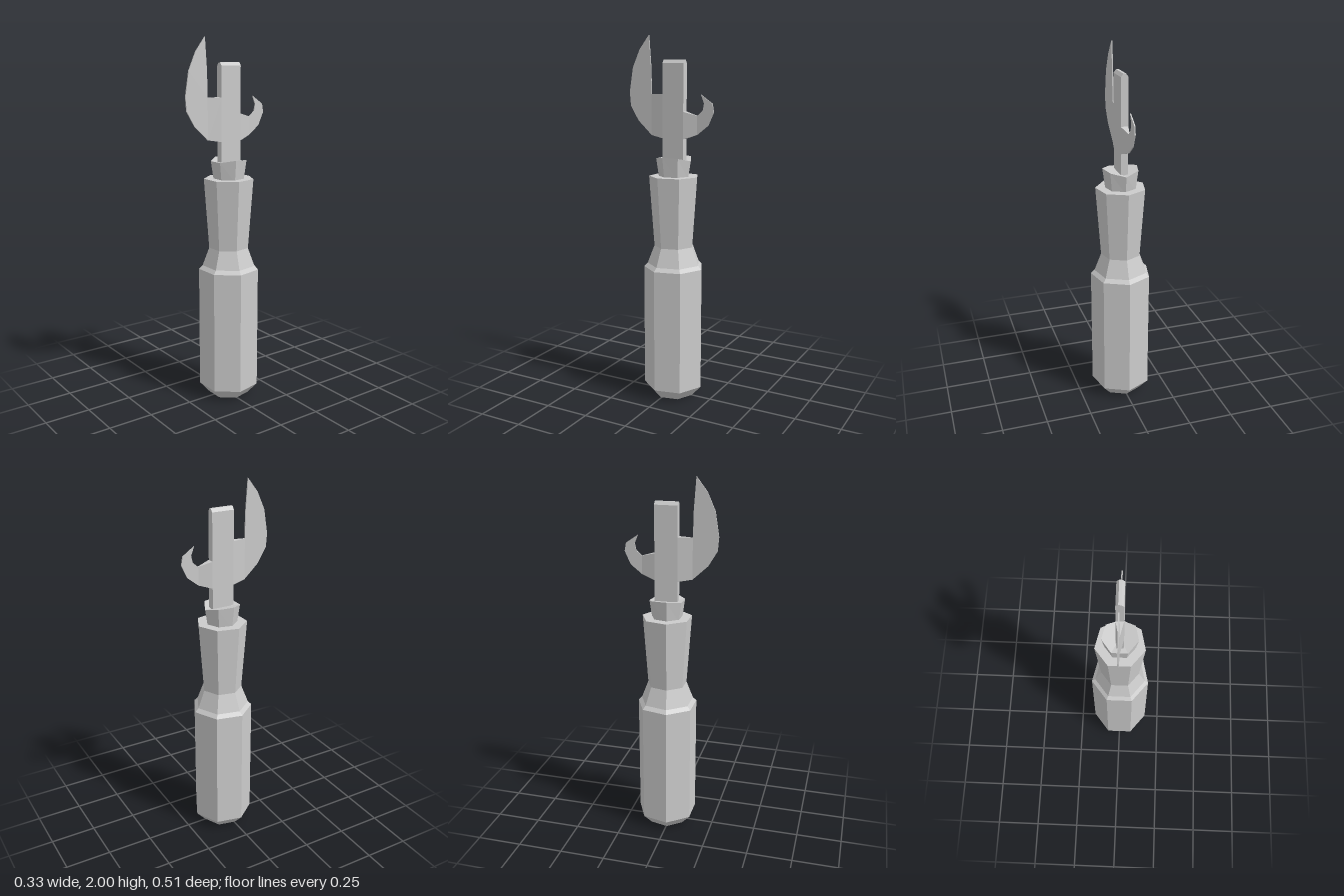
import * as THREE from 'three';

const SIDES = 7;
const AXIS_Z = -0.022; // the handle sits slightly behind the blade
const BAR_FRONT = 0.04, BAR_BACK = -0.085, BAR_HALF = 0.02, EDGE_HALF = 0.003;

export function createModel() {
  const group = new THREE.Group();
  const material = new THREE.MeshStandardMaterial({ color: 0xcccccc, flatShading: true });

  const add = (name, geometry) => {
    const mesh = new THREE.Mesh(geometry, material);
    mesh.name = name;
    group.add(mesh);
    return mesh;
  };

  // Seven-sided turned part with one corner pointing backwards
  const turned = (profile) => new THREE.LatheGeometry(
    profile.map(([r, y]) => new THREE.Vector2(r, y)), SIDES, Math.PI
  ).translate(0, 0, AXIS_Z);

  // Plate from a [z, y] outline; halfAt(z) gives half its thickness
  const plate = (outline, halfAt) => {
    const shape = new THREE.Shape(outline.map(([z, y]) => new THREE.Vector2(-z, y)));
    const geometry = new THREE.ExtrudeGeometry(shape, { depth: 2, bevelEnabled: false });
    geometry.translate(0, 0, -1).rotateY(Math.PI / 2);
    const pos = geometry.attributes.position;
    for (let i = 0; i < pos.count; i++) pos.setX(i, pos.getX(i) * halfAt(pos.getZ(i)));
    geometry.computeVertexNormals();
    return geometry;
  };
  const thin = () => EDGE_HALF;
  const taper = (from, to) => (z) =>
    THREE.MathUtils.lerp(BAR_HALF, EDGE_HALF, (z - from) / (to - from));

  // Handle: thick grip, shoulder, waist and flared neck
  add('handle', turned([
    [0, 0], [0.113, 0], [0.168, 0.06], [0.168, 0.745], [0.148, 0.765],
    [0.11, 0.865], [0.138, 1.253], [0, 1.253],
  ]));

  // Collar: its top rises towards both sides, leaving a valley for the bar
  const collar = turned([[0.083, 1.24], [0.099, 1.338], [0, 1.338]]);
  const cp = collar.attributes.position;
  for (let i = 0; i < cp.count; i++) {
    if (cp.getY(i) > 1.3) cp.setY(i, cp.getY(i) + 0.23 * Math.abs(cp.getX(i)));
  }
  collar.computeVertexNormals();
  add('collar', collar);

  // Central bar with a chamfered tip
  const barShape = new THREE.Shape([
    [-BAR_HALF, 1.3], [BAR_HALF, 1.3], [BAR_HALF, 1.853],
    [0.007, 1.87], [-0.007, 1.87], [-BAR_HALF, 1.853],
  ].map(([x, y]) => new THREE.Vector2(x, y)));
  add('bar', new THREE.ExtrudeGeometry(barShape, {
    depth: BAR_FRONT - BAR_BACK, bevelEnabled: false,
  }).translate(0, 0, BAR_BACK));

  // Long piercing blade at the front, on a tapered root
  add('bladeRoot', plate([
    [BAR_FRONT, 1.455], [0.117, 1.468], [0.117, 1.69], [BAR_FRONT, 1.69],
  ], taper(BAR_FRONT, 0.117)));
  add('blade', plate([
    [0.117, 1.468], [0.2, 1.545], [0.248, 1.625], [0.254, 1.7], [0.233, 1.83],
    [0.19, 1.925], [0.132, 2], [0.12, 1.83], [0.117, 1.69],
  ], thin));

  // Small curled hook at the back, on a tapered root
  add('hookRoot', plate([
    [BAR_BACK, 1.455], [-0.159, 1.48], [-0.159, 1.58], [BAR_BACK, 1.6],
  ], taper(BAR_BACK, -0.159)));
  add('hook', plate([
    [-0.159, 1.48], [-0.222, 1.53], [-0.254, 1.6], [-0.246, 1.645],
    [-0.18, 1.69], [-0.198, 1.645], [-0.19, 1.607], [-0.159, 1.58],
  ], thin));

  return group;
}
